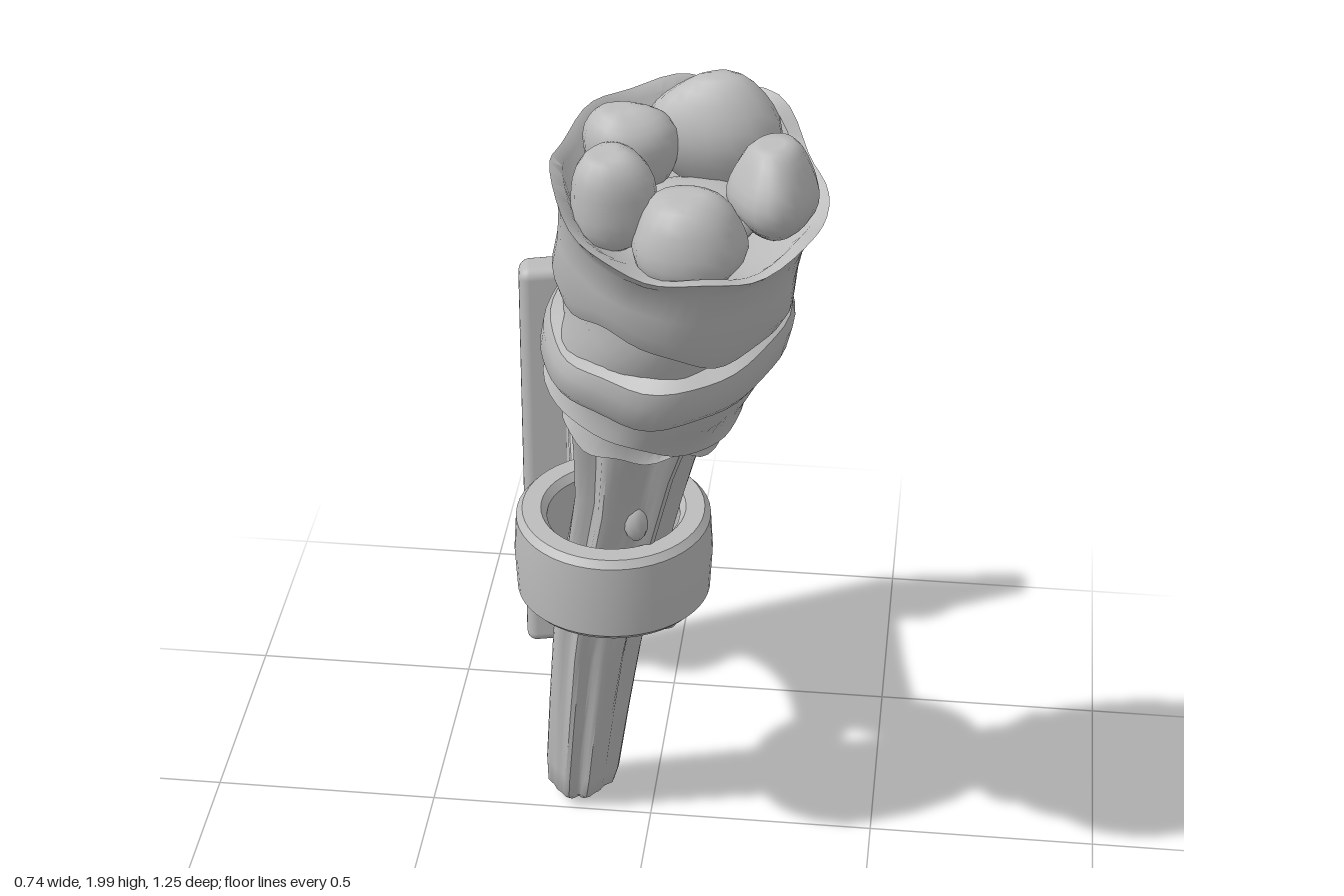
import * as THREE from 'three';
import { toCreasedNormals } from 'three/addons/utils/BufferGeometryUtils.js';
import { RoundedBoxGeometry } from 'three/addons/geometries/RoundedBoxGeometry.js';

const { sin, cos, PI } = Math;
const grey = new THREE.MeshStandardMaterial({ color: 0xbcbcbc, side: THREE.DoubleSide });
grey.name = 'stone grey';

// Leaning, slightly bent centre line of the torch
const axis = new THREE.CatmullRomCurve3([
  [-0.172, 0, -0.078], [-0.1, 0.62, 0.03], [-0.042, 0.9, 0.088], [0.005, 1.2, 0.16],
  [0.052, 1.4, 0.235], [0.085, 1.58, 0.305], [0.12, 1.83, 0.375], [0.14, 1.95, 0.41],
].map((p) => new THREE.Vector3(...p)));

// Centre and frame of the torch at a given height
function frameAt(y) {
  let lo = 0, hi = 1;
  for (let i = 0; i < 24; i++) {
    const m = (lo + hi) / 2;
    if (axis.getPoint(m).y < y) lo = m; else hi = m;
  }
  const t = axis.getTangent(lo);
  const r = new THREE.Vector3(1, 0, 0).addScaledVector(t, -t.x).normalize();
  return { c: axis.getPoint(lo), t, r, f: r.clone().cross(t) };
}

// Skin rings [height, radius] along the centre line; shape gives [radius factor, lift]
function sweep(rows, n, shape, crease) {
  const pos = [], idx = [];
  rows.forEach(([y, rad], i) => {
    const { c, t, r, f } = frameAt(y);
    for (let j = 0; j < n; j++) {
      const a = (j / n) * 2 * PI;
      const [k, lift] = shape(a, i, y);
      const p = c.clone().addScaledVector(r, rad * k * cos(a))
        .addScaledVector(f, rad * k * sin(a)).addScaledVector(t, lift);
      pos.push(p.x, p.y, p.z);
      if (i + 1 < rows.length) {
        const q = i * n + j, s = i * n + (j + 1) % n;
        idx.push(q, q + n, s, s, q + n, s + n);
      }
    }
  });
  const g = new THREE.BufferGeometry();
  g.setAttribute('position', new THREE.Float32BufferAttribute(pos, 3));
  g.setIndex(idx);
  g.computeVertexNormals();
  return crease ? toCreasedNormals(g, crease) : g;
}

// Irregular ripple used for cloth and coals
const ripple = (a, s) => 0.5 * sin(3 * a + s) + 0.3 * sin(5 * a + 2.3 * s) + 0.3 * sin(8 * a - 1.7 * s);

export function createModel() {
  const group = new THREE.Group();
  const add = (name, geometry, x = 0, y = 0, z = 0) => {
    const m = new THREE.Mesh(geometry, grey);
    m.name = name;
    m.position.set(x, y, z);
    group.add(m);
    return m;
  };

  // Split wooden handle with long grooves
  add('handle', sweep(
    [[0.012, 0.001], [0.014, 0.045], [0.04, 0.066], [0.1, 0.073], [0.3, 0.08], [0.5, 0.088], [0.65, 0.094],
      [0.8, 0.1], [0.95, 0.106], [1.08, 0.12], [1.2, 0.138], [1.32, 0.145]], 54,
    (a, i, y) => [1 + 0.07 * sin(7 * a + 1.3 * y) + 0.05 * sin(11 * a - 2 * y) + 0.05 * cos(2 * a + 0.5),
      i < 3 ? 0.012 * sin(a + 2) : 0], 0.7));
  const knot = add('handleKnot', new THREE.SphereGeometry(0.035, 12, 8), -0.01, 0.92, 0.175);
  knot.scale.set(0.8, 1.5, 0.9);

  // Ragged frill below the wrapping
  add('frill', sweep(
    [[1.19, 0.168], [1.23, 0.15], [1.3, 0.155], [1.36, 0.14]], 48,
    (a, i) => [1 + 0.07 * ripple(a, 1), i === 0 ? 0.032 * ripple(a, 4) : 0], 0.8));

  // Lower cloth with a pointed hem
  add('lowerCloth', sweep(
    [[1.27, 0.165], [1.255, 0.195], [1.29, 0.192], [1.34, 0.202], [1.4, 0.205], [1.46, 0.2]], 48,
    (a, i) => [1 + 0.05 * ripple(a, 2 + 0.4 * i) + (i === 1 ? 0.12 * Math.max(0, cos(a - 2.9)) ** 6 : 0),
      0.02 * cos(a - 2) + (i < 2 ? 0.02 * ripple(a, 2.5) : 0)], 0.8));

  // Folds between the two bands
  add('innerCloth', sweep(
    [[1.38, 0.2], [1.45, 0.21], [1.5, 0.195], [1.535, 0.208], [1.565, 0.192], [1.6, 0.2], [1.67, 0.19]], 48,
    (a, i) => [1 + 0.05 * ripple(a, 0.7 * i), 0.025 * cos(a + i)], 0.8));

  // Slanted strip tied round the middle
  add('clothBand', sweep(
    [[1.39, 0.19], [1.38, 0.228], [1.4, 0.238], [1.46, 0.24], [1.49, 0.23], [1.5, 0.19]], 48,
    (a, i) => [1 + 0.03 * ripple(a, 3), 0.07 * cos(a) + 0.025 * sin(a) + 0.01 * ripple(a, 1 + 0.2 * i)], 0.7));

  // Upper cloth, flared rim and hollow inside
  add('upperCloth', sweep(
    [[1.6, 0.195], [1.57, 0.222], [1.61, 0.236], [1.68, 0.232], [1.75, 0.236], [1.8, 0.25], [1.825, 0.264],
      [1.815, 0.24], [1.77, 0.215], [1.74, 0.15], [1.73, 0.001]], 56,
    (a, i) => [1 + 0.035 * ripple(a, 5 + 0.15 * i),
      i < 3 ? 0.03 * ripple(a, 2) + 0.015 * sin(a)
        : i > 4 && i < 8 ? 0.028 * ripple(a, 5.5) - 0.02 * sin(a) : 0], 0.8));

  // Lumps of fuel heaped in a ring
  const lumps = [
    [0.15, 1.875, 0.25, 0.125, 0.125, 0.09], [0.275, 1.82, 0.38, 0.085, 0.1, 0.1],
    [0.13, 1.765, 0.5, 0.12, 0.095, 0.085], [-0.015, 1.82, 0.44, 0.085, 0.1, 0.09],
    [0.0, 1.86, 0.32, 0.085, 0.09, 0.08], [0.12, 1.75, 0.38, 0.13, 0.06, 0.12],
  ];
  lumps.forEach(([x, y, z, sx, sy, sz], k) => {
    const g = new THREE.SphereGeometry(1, 20, 14);
    const p = g.attributes.position, v = new THREE.Vector3();
    for (let i = 0; i < p.count; i++) {
      v.fromBufferAttribute(p, i);
      const d = 1 + 0.06 * sin(3.1 * v.x + k) + 0.06 * sin(4 * v.z + 2 * k) + 0.05 * cos(4 * v.y + k);
      p.setXYZ(i, v.x * d, Math.min(v.y * d, 0.93 + 0.1 * v.x), v.z * d);
    }
    g.computeVertexNormals();
    add('fuelLump', g, x, y, z).scale.set(sx, sy, sz);
  });

  // Holder ring with rounded edges
  const ringProfile = [
    [0.142, 0.67], [0.155, 0.652], [0.195, 0.65], [0.208, 0.664], [0.213, 0.755], [0.208, 0.842],
    [0.195, 0.857], [0.155, 0.857], [0.142, 0.84], [0.142, 0.67],
  ].map((p) => new THREE.Vector2(...p));
  const ring = toCreasedNormals(new THREE.LatheGeometry(ringProfile, 48), 0.6);
  const rp = ring.attributes.position;
  for (let i = 0; i < rp.count; i++) if (rp.getY(i) > 0.8) rp.setY(i, rp.getY(i) - 0.04 * rp.getZ(i));
  add('holderRing', ring, -0.075, 0, 0.038);

  // Curved arm from ring to wall plate
  const side = new THREE.Shape();
  side.moveTo(0, 0.66);
  side.lineTo(0.06, 0.66);
  side.bezierCurveTo(0.2, 0.645, 0.28, 0.58, 0.37, 0.45);
  side.lineTo(0.4, 0.45);
  side.lineTo(0.4, 0.84);
  side.lineTo(0.34, 0.825);
  side.quadraticCurveTo(0.18, 0.815, 0, 0.83);
  const armGeo = new THREE.ExtrudeGeometry(side, {
    depth: 0.13, bevelThickness: 0.012, bevelSize: 0.01, bevelSegments: 2, curveSegments: 10,
  });
  armGeo.translate(0, 0, -0.065);
  add('arm', toCreasedNormals(armGeo, 0.6), -0.115, 0, -0.14).rotation.y = PI / 2 + 0.16;

  // Wall plate, slightly skewed
  const plateGeo = new RoundedBoxGeometry(0.362, 1.02, 0.082, 3, 0.025);
  const pp = plateGeo.attributes.position;
  for (let i = 0; i < pp.count; i++) pp.setY(i, pp.getY(i) + 0.07 * pp.getX(i));
  add('wallPlate', plateGeo, -0.18, 0.615, -0.56).rotation.y = 0.15;

  // Domed bolts
  for (const y of [0.99, 0.27]) {
    const bolt = add('bolt', new THREE.SphereGeometry(0.078, 24, 16), -0.172, y, -0.52);
    bolt.scale.z = 0.85;
    bolt.rotation.y = 0.15;
  }
  return group;
}
